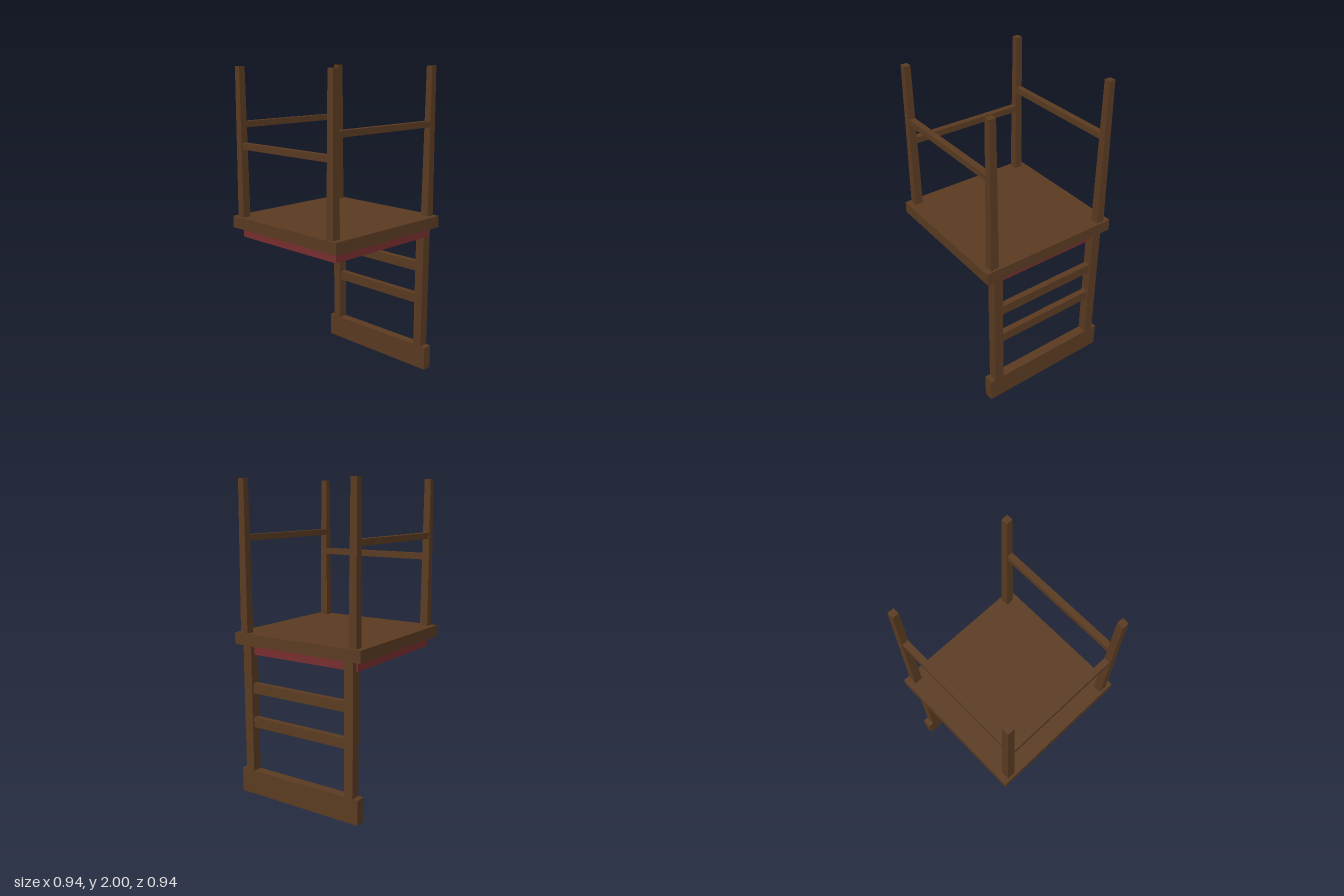
import * as THREE from 'three';

export function createModel() {
  const group = new THREE.Group();
  group.name = 'upturnedChair';

  const wood = new THREE.MeshStandardMaterial({ color: 0x5c3c22 });
  wood.name = 'dark wood';
  const fabric = new THREE.MeshStandardMaterial({ color: 0x7a2e30 });
  fabric.name = 'red fabric';

  // Box given by its extents on each axis
  function box(name, [x0, x1], [y0, y1], [z0, z1], material = wood) {
    const mesh = new THREE.Mesh(new THREE.BoxGeometry(x1 - x0, y1 - y0, z1 - z0), material);
    mesh.position.set((x0 + x1) / 2, (y0 + y1) / 2, (z0 + z1) / 2);
    mesh.name = name;
    group.add(mesh);
    return mesh;
  }

  // Seat board with the cushion hanging beneath it
  box('seat', [-0.468, 0.468], [0.983, 1.058], [-0.468, 0.468]);
  box('cushion', [-0.422, 0.422], [0.92, 0.983], [-0.422, 0.422], fabric);

  // Four legs pointing up, narrowing towards their feet
  for (const x of [-0.404, 0.404]) {
    for (const z of [-0.426, 0.426]) {
      const leg = box('leg', [x - 0.027, x + 0.027], [1.058, 2], [z - 0.027, z + 0.027]);
      const p = leg.geometry.attributes.position;
      for (let i = 0; i < p.count; i++) {
        if (p.getY(i) > 0) p.setXYZ(i, p.getX(i) * 0.77, p.getY(i), p.getZ(i) * 0.77);
      }
      leg.geometry.computeVertexNormals();
    }
  }

  // Stretchers: one at the front, a higher one on each side
  box('frontStretcher', [-0.384, 0.384], [1.492, 1.532], [0.403, 0.442]);
  for (const x of [-0.403, 0.403]) {
    box('sideStretcher', [x - 0.02, x + 0.02], [1.627, 1.665], [-0.405, 0.405]);
  }

  // Backrest: two posts, two slats and the wide top rail resting on the ground
  for (const x of [-0.38, 0.38]) {
    box('backPost', [x - 0.031, x + 0.031], [0.157, 0.983], [-0.455, -0.392]);
  }
  for (const y of [0.483, 0.707]) {
    box('backSlat', [-0.35, 0.35], [y - 0.032, y + 0.032], [-0.443, -0.403]);
  }
  box('topRail', [-0.446, 0.446], [0, 0.157], [-0.455, -0.392]);

  return group;
}
